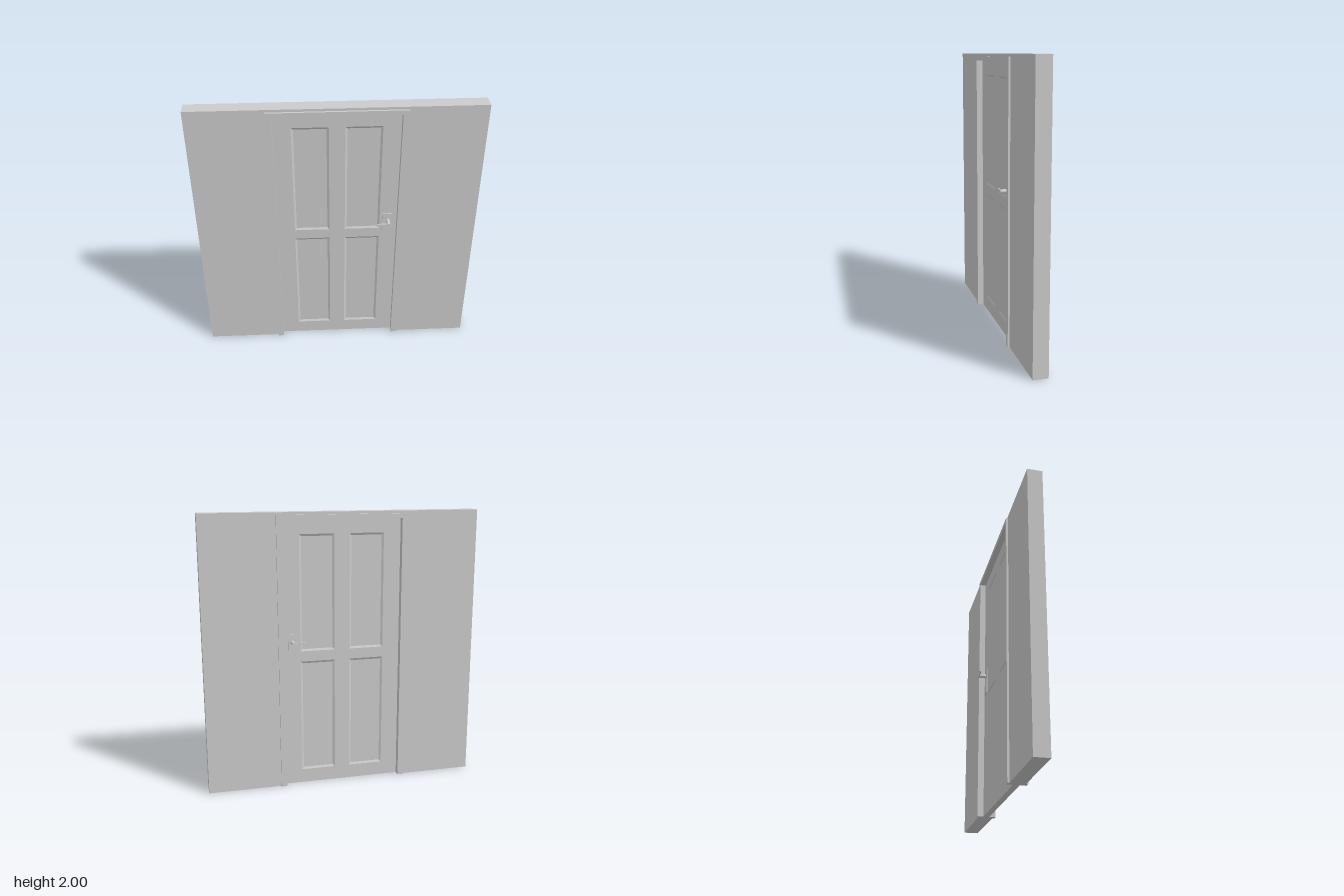
import * as THREE from 'three';

const mat = new THREE.MeshStandardMaterial({ color: 0xcccccc, flatShading: true });
const smooth = new THREE.MeshStandardMaterial({ color: 0xcccccc });

const WALL = 0.053, TRIM = 0.067, DOOR = 0.022; // half depths
const PANEL_DEPTH = 0.008, BEVEL = 0.015;

function add(parent, name, geometry, x = 0, y = 0, z = 0, material = mat) {
  const mesh = new THREE.Mesh(geometry, material);
  mesh.name = name;
  mesh.position.set(x, y, z);
  parent.add(mesh);
  return mesh;
}

// Upside-down U: outer rectangle with a doorway open at the floor
function archShape(ox, oy, ix, iy) {
  return new THREE.Shape([
    [-ox, 0], [-ix, 0], [-ix, iy], [ix, iy], [ix, 0], [ox, 0], [ox, oy], [-ox, oy],
  ].map(([x, y]) => new THREE.Vector2(x, y)));
}

function extrude(shape, halfDepth) {
  return new THREE.ExtrudeGeometry(shape, { depth: 2 * halfDepth, bevelEnabled: false })
    .translate(0, 0, -halfDepth);
}

function corners(x0, y0, x1, y1) {
  return [[x0, y0], [x1, y0], [x1, y1], [x0, y1]];
}

// Four sloped strips leading from the door face down to a sunken panel
function recessGeometry(x0, y0, x1, y1) {
  const outer = corners(x0, y0, x1, y1);
  const inner = corners(x0 + BEVEL, y0 + BEVEL, x1 - BEVEL, y1 - BEVEL);
  const pos = [];
  for (let i = 0; i < 4; i++) {
    const j = (i + 1) % 4;
    const a = [...outer[i], DOOR], b = [...outer[j], DOOR];
    const c = [...inner[j], DOOR - PANEL_DEPTH], d = [...inner[i], DOOR - PANEL_DEPTH];
    pos.push(...a, ...b, ...c, ...a, ...c, ...d);
  }
  const g = new THREE.BufferGeometry();
  g.setAttribute('position', new THREE.Float32BufferAttribute(pos, 3));
  g.computeVertexNormals();
  return g;
}

function createDoor() {
  const door = new THREE.Group();
  door.name = 'door';
  const face = new THREE.Shape(corners(-0.43, 0, 0.43, 1.95).map(([x, y]) => new THREE.Vector2(x, y)));
  const panels = [];
  for (const [x0, x1] of [[-0.307, -0.055], [0.055, 0.307]]) {
    for (const [y0, y1] of [[0.102, 0.937], [1.013, 1.848]]) panels.push([x0, y0, x1, y1]);
  }
  for (const p of panels) {
    face.holes.push(new THREE.Path(corners(...p).reverse().map(([x, y]) => new THREE.Vector2(x, y))));
  }
  add(door, 'doorRails', extrude(face, DOOR));

  // Sunken panels with sloped edges on both faces
  for (const [x0, y0, x1, y1] of panels) {
    add(door, 'panel', new THREE.BoxGeometry(x1 - x0, y1 - y0, 2 * (DOOR - PANEL_DEPTH)),
      (x0 + x1) / 2, (y0 + y1) / 2, 0);
    add(door, 'panelBevelFront', recessGeometry(x0, y0, x1, y1));
    add(door, 'panelBevelBack', recessGeometry(-x1, y0, -x0, y1)).rotation.y = Math.PI;
  }
  return door;
}

// Lever handle with backplate; side is +1 for the front, -1 for the back
function createHandle(side) {
  const handle = new THREE.Group();
  handle.name = side > 0 ? 'frontHandle' : 'backHandle';
  const x = 0.366, y = 1.084, tip = 0.094;
  add(handle, 'backplate', new THREE.BoxGeometry(0.07, 0.205, 0.008), 0.361, 1.038, side * (DOOR + 0.003));

  const post = new THREE.CylinderGeometry(0.014, 0.014, tip - DOOR, 24).rotateX(Math.PI / 2);
  add(handle, 'post', post, x, y, side * (tip + DOOR) / 2, smooth);

  // Flat lever bar with a rounded free end
  const h = 0.008, length = 0.082;
  const bar = new THREE.Shape();
  bar.moveTo(0, h);
  bar.lineTo(-length, h);
  bar.absarc(-length, 0, h, Math.PI / 2, Math.PI * 1.5, false);
  bar.lineTo(0, -h);
  add(handle, 'lever', extrude(bar, 0.005), x, y, side * 0.086);
  return handle;
}

export function createModel() {
  const model = new THREE.Group();
  model.name = 'doorInWall';
  add(model, 'wall', extrude(archShape(1, 2, 0.45, 1.965), WALL));
  add(model, 'doorFrame', extrude(archShape(0.471, 1.982, 0.43, 1.95), TRIM));
  model.add(createDoor(), createHandle(1), createHandle(-1));
  return model;
}
